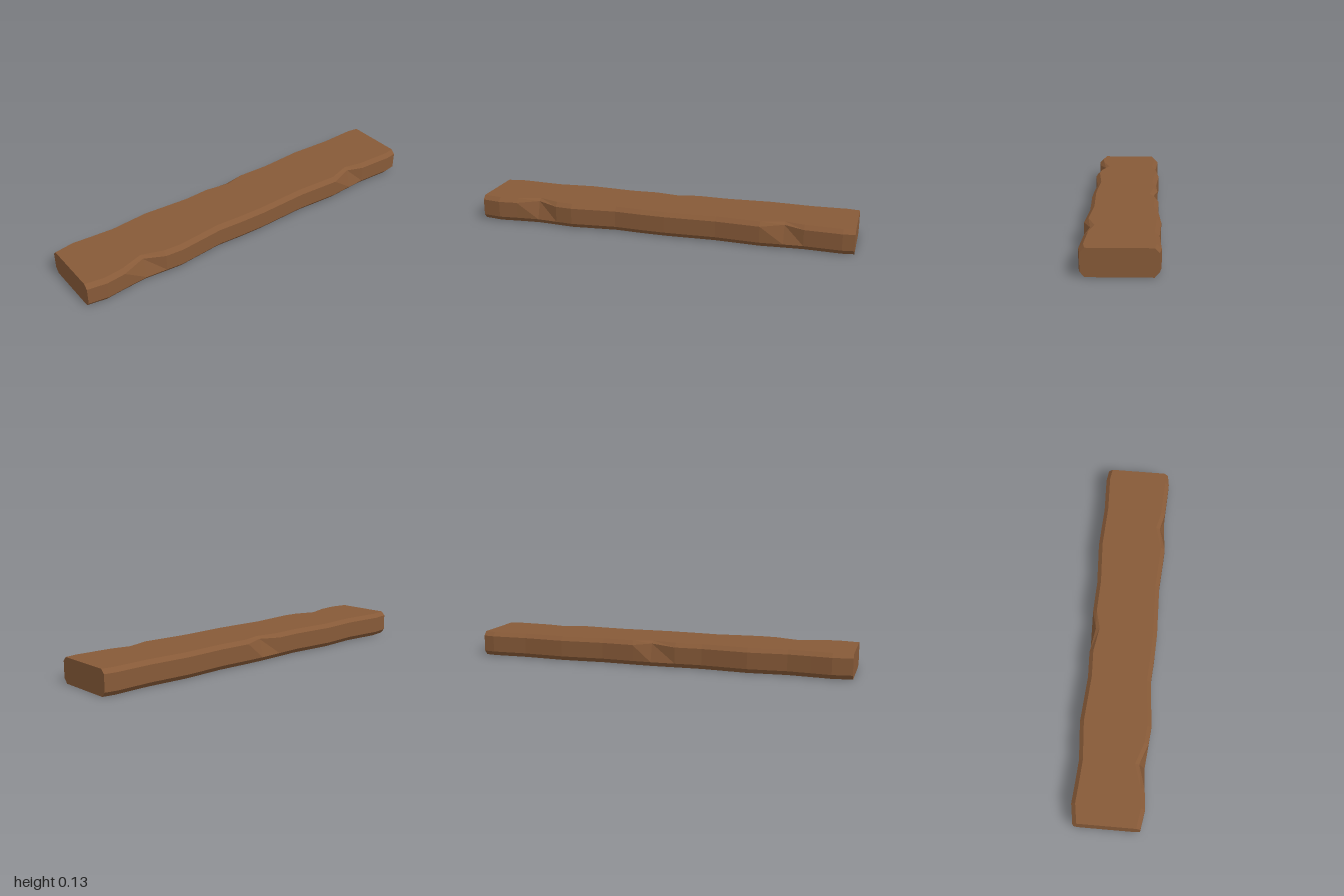
import * as THREE from 'three';

const HEIGHT = 0.13;
const CHAMFER = 0.021;

// Stations along the plank: z, +x half width, -x half width, +x notch, -x notch
const STATIONS = [
  [-1.0, 0.168, 0.171, 0, 0],
  [-0.94, 0.177, 0.18, 0, 0],
  [-0.75, 0.168, 0.173, 0, 0],
  [-0.65, 0.174, 0.178, 0.028, 0],
  [-0.53, 0.182, 0.184, 0, 0],
  [-0.3, 0.168, 0.171, 0, 0],
  [-0.13, 0.173, 0.177, 0, 0],
  [-0.03, 0.176, 0.178, 0, 0.026],
  [0.1, 0.172, 0.173, 0, 0],
  [0.24, 0.163, 0.167, 0, 0],
  [0.48, 0.184, 0.184, 0, 0],
  [0.57, 0.176, 0.177, 0, 0],
  [0.68, 0.166, 0.168, 0.029, 0],
  [0.8, 0.174, 0.176, 0, 0],
  [0.9, 0.184, 0.184, 0, 0],
  [1.0, 0.168, 0.168, 0, 0],
];

// Chamfered eight-sided section, counter-clockwise seen from the front
function section([z, right, left, notchR, notchL]) {
  const low = CHAMFER + 0.003;
  const side = (w, n) => [
    [w - CHAMFER, 0],
    [w, low],
    [w - n, HEIGHT - CHAMFER + n * 0.35],
    [w - CHAMFER - n, HEIGHT],
  ];
  const r = side(right, notchR);
  const l = side(left, notchL).reverse().map(([x, y]) => [-x, y]);
  return [...r, ...l].map(([x, y]) => [x, y, z]);
}

function plankGeometry() {
  const rings = STATIONS.map(section);
  const n = rings[0].length;
  const positions = [];
  const tri = (a, b, c) => positions.push(...a, ...b, ...c);

  // Long faces between neighbouring sections
  for (let i = 0; i < rings.length - 1; i++) {
    const back = rings[i];
    const front = rings[i + 1];
    for (let j = 0; j < n; j++) {
      const k = (j + 1) % n;
      tri(back[j], back[k], front[k]);
      tri(back[j], front[k], front[j]);
    }
  }

  // End faces
  const first = rings[0];
  const last = rings[rings.length - 1];
  for (let j = 1; j < n - 1; j++) {
    tri(first[0], first[j + 1], first[j]);
    tri(last[0], last[j], last[j + 1]);
  }

  const geometry = new THREE.BufferGeometry();
  geometry.setAttribute('position', new THREE.Float32BufferAttribute(positions, 3));
  geometry.computeVertexNormals();
  return geometry;
}

export function createModel() {
  const wood = new THREE.MeshStandardMaterial({ color: 0x875a38, flatShading: true });
  wood.name = 'brown wood';

  const plank = new THREE.Mesh(plankGeometry(), wood);
  plank.name = 'plank';

  const model = new THREE.Group();
  model.name = 'woodenPlank';
  model.add(plank);
  return model;
}
